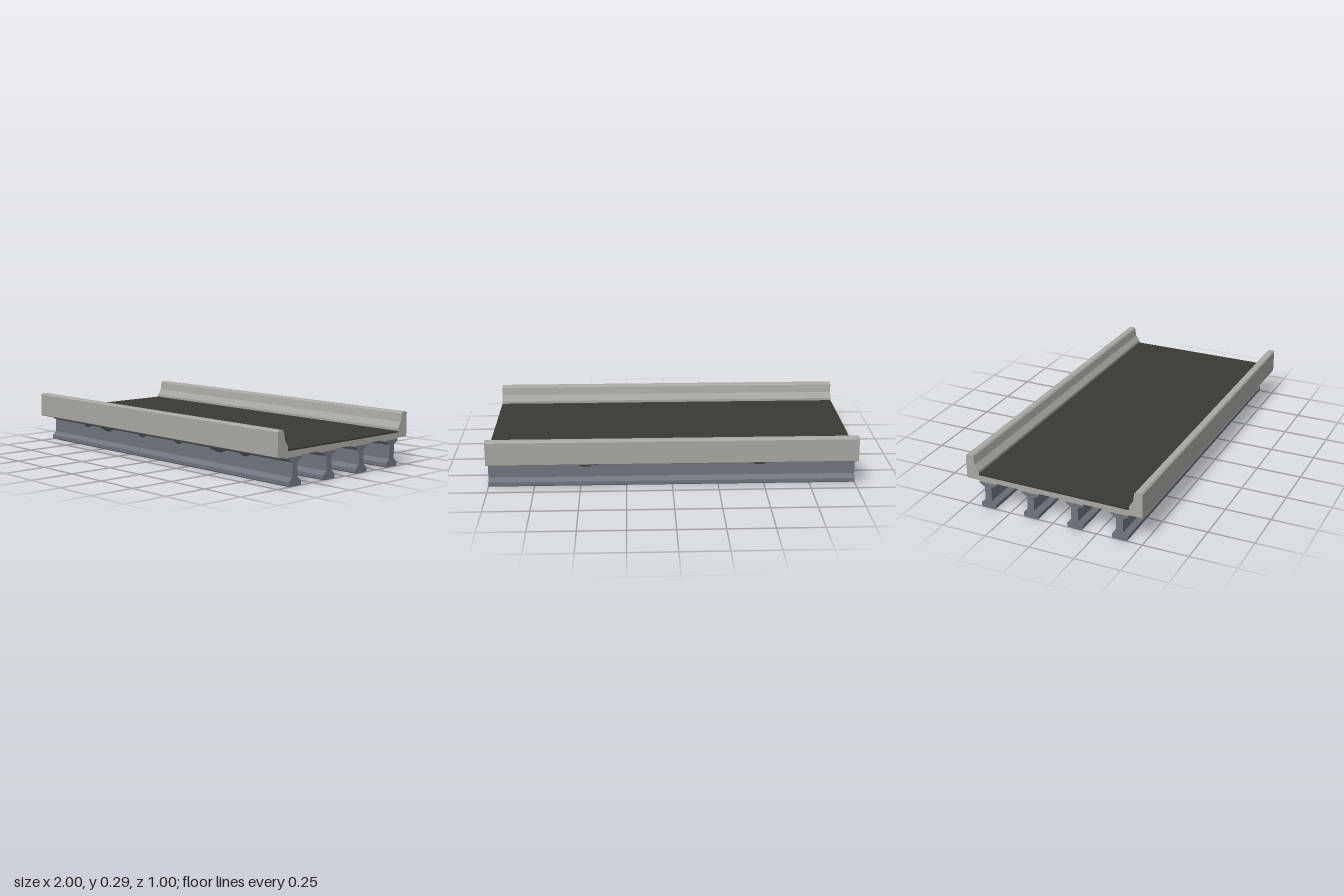
import * as THREE from 'three';

const LENGTH = 2;

function material(name, color) {
  const m = new THREE.MeshStandardMaterial({ color });
  m.name = name;
  return m;
}

// Extrudes a (z, y) section along x, centred on x = 0
function extrudeAlongX(points, length) {
  const shape = new THREE.Shape(points.map(([z, y]) => new THREE.Vector2(-z, y)));
  const geo = new THREE.ExtrudeGeometry(shape, { depth: length, bevelEnabled: false });
  geo.translate(0, 0, -length / 2);
  return geo.rotateY(Math.PI / 2);
}

export function createModel() {
  const concrete = material('pale concrete', 0xa9a9a3);
  const girderGrey = material('girder grey', 0x70767e);
  const asphalt = material('asphalt', 0x3a3a34);
  const stainDark = material('dark stain', 0x36393c);

  const root = new THREE.Group();
  root.name = 'bridgeSpan';
  const add = (name, geo, mat, x = 0, y = 0, z = 0) => {
    const mesh = new THREE.Mesh(geo, mat);
    mesh.name = name;
    mesh.position.set(x, y, z);
    root.add(mesh);
    return mesh;
  };

  // Deck slab and road surface
  add('deckSlab', new THREE.BoxGeometry(LENGTH, 0.028, 0.86), concrete, 0, 0.167, 0);
  add('roadSurface', new THREE.BoxGeometry(LENGTH, 0.008, 0.858), asphalt, 0, 0.185, 0);

  // Sloped safety barriers along both edges
  const barrier = [
    [0.428, 0.153], [0.496, 0.153], [0.5, 0.157], [0.5, 0.281], [0.493, 0.289],
    [0.464, 0.289], [0.457, 0.281], [0.45, 0.236], [0.428, 0.203],
  ];
  for (const side of [1, -1]) {
    const name = side > 0 ? 'frontBarrier' : 'backBarrier';
    add(name, extrudeAlongX(barrier.map(([z, y]) => [z * side, y]), LENGTH), concrete);
  }

  // I-girders with a haunch strip on each
  const half = [
    [0.038, 0], [0.043, 0.005], [0.043, 0.025], [0.019, 0.045],
    [0.019, 0.12], [0.05, 0.14], [0.05, 0.147],
  ];
  const section = [...half, ...half.map(([z, y]) => [-z, y]).reverse()];
  const girderGeo = extrudeAlongX(section, LENGTH);
  const haunchGeo = new THREE.BoxGeometry(LENGTH, 0.006, 0.1);
  const girderZ = [-0.377, -0.126, 0.126, 0.377];
  for (const z of girderZ) {
    add('girder', girderGeo, girderGrey, 0, 0, z);
    add('haunch', haunchGeo, concrete, 0, 0.15, z);
  }

  // Cross diaphragms between the girder webs
  for (let i = 0; i < 3; i++) {
    const z = (girderZ[i] + girderZ[i + 1]) / 2;
    for (const x of [-1 / 3, 1 / 3]) {
      add('diaphragm', new THREE.BoxGeometry(0.035, 0.088, 0.22), girderGrey, x, 0.108, z);
    }
  }

  // Ragged stains hanging below the flange of the outer girders
  const stains = [
    [-0.67, 0.07, 0.014], [-0.48, 0.12, 0.018], [-0.16, 0.07, 0.014],
    [0.15, 0.07, 0.014], [0.47, 0.13, 0.018], [0.67, 0.08, 0.014],
  ];
  for (const [x, w, h] of stains) {
    const outline = [[-0.5, 0], [-0.45, -0.6], [-0.3, -0.5], [-0.15, -0.95], [0.15, -1], [0.3, -0.6], [0.5, 0]];
    const shape = new THREE.Shape(outline.map(([u, v]) => new THREE.Vector2(u * w, v * h)));
    const geo = new THREE.ExtrudeGeometry(shape, { depth: 0.002, bevelEnabled: false });
    add('frontStain', geo, stainDark, x, 0.122, 0.396);
    if (Math.abs(x) > 0.4 && Math.abs(x) < 0.5) add('backStain', geo, stainDark, x, 0.122, -0.398);
  }

  return root;
}
